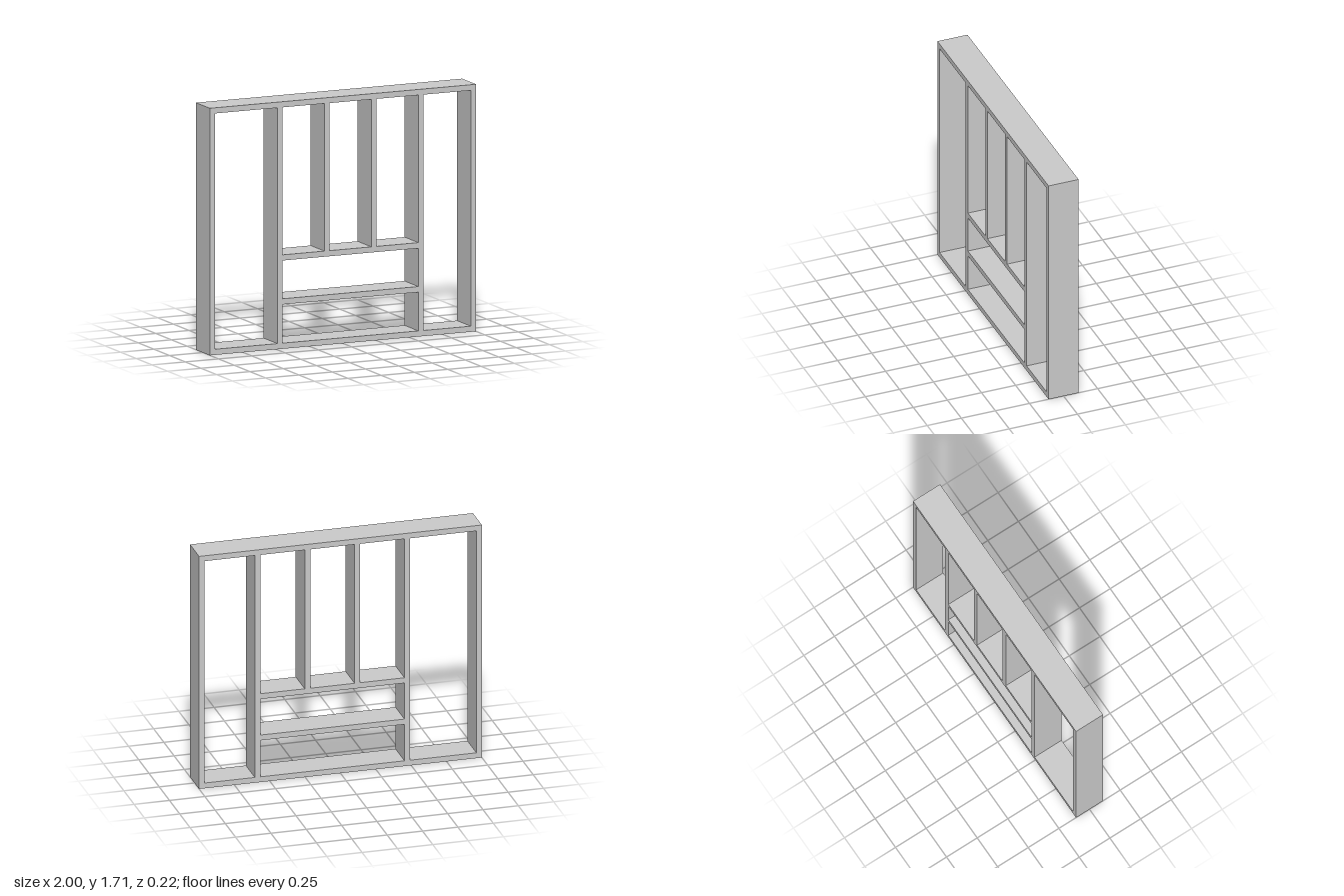
import * as THREE from 'three';

const WIDTH = 2, HEIGHT = 1.71, DEPTH = 0.22, T = 0.039;

export function createModel() {
  const model = new THREE.Group();
  model.name = 'dividerFrame';
  const material = new THREE.MeshStandardMaterial({ color: 0xcccccc, flatShading: true });

  // A board spanning x0..x1 and y0..y1 through the full depth
  function board(name, x0, x1, y0, y1) {
    const mesh = new THREE.Mesh(new THREE.BoxGeometry(x1 - x0, y1 - y0, DEPTH), material);
    mesh.position.set((x0 + x1) / 2, (y0 + y1) / 2, 0);
    mesh.name = name;
    model.add(mesh);
  }
  const upright = (name, x, y0, y1) => board(name, x - T / 2, x + T / 2, y0, y1);

  // Outer frame
  const half = WIDTH / 2, ceiling = HEIGHT - T;
  board('bottomBoard', -half, half, 0, T);
  board('topBoard', -half, half, ceiling, HEIGHT);
  board('leftSide', half - T, half, T, ceiling);
  board('rightSide', -half, -half + T, T, ceiling);

  // Full-height dividers around the middle bay
  const innerRight = -0.472, innerLeft = 0.586;
  upright('rightDivider', innerRight, T, ceiling);
  upright('leftDivider', innerLeft, T, ceiling);

  // Shelves in the middle bay
  const shelfTops = [0.346, 0.65];
  ['lowerShelf', 'upperShelf'].forEach((name, i) =>
    board(name, innerRight + T / 2, innerLeft - T / 2, shelfTops[i] - T, shelfTops[i]));

  // Short dividers splitting the space above the upper shelf into thirds
  for (let i = 1; i <= 2; i++) {
    upright('shortDivider' + i, innerRight + (innerLeft - innerRight) * i / 3, shelfTops[1], ceiling);
  }
  return model;
}
